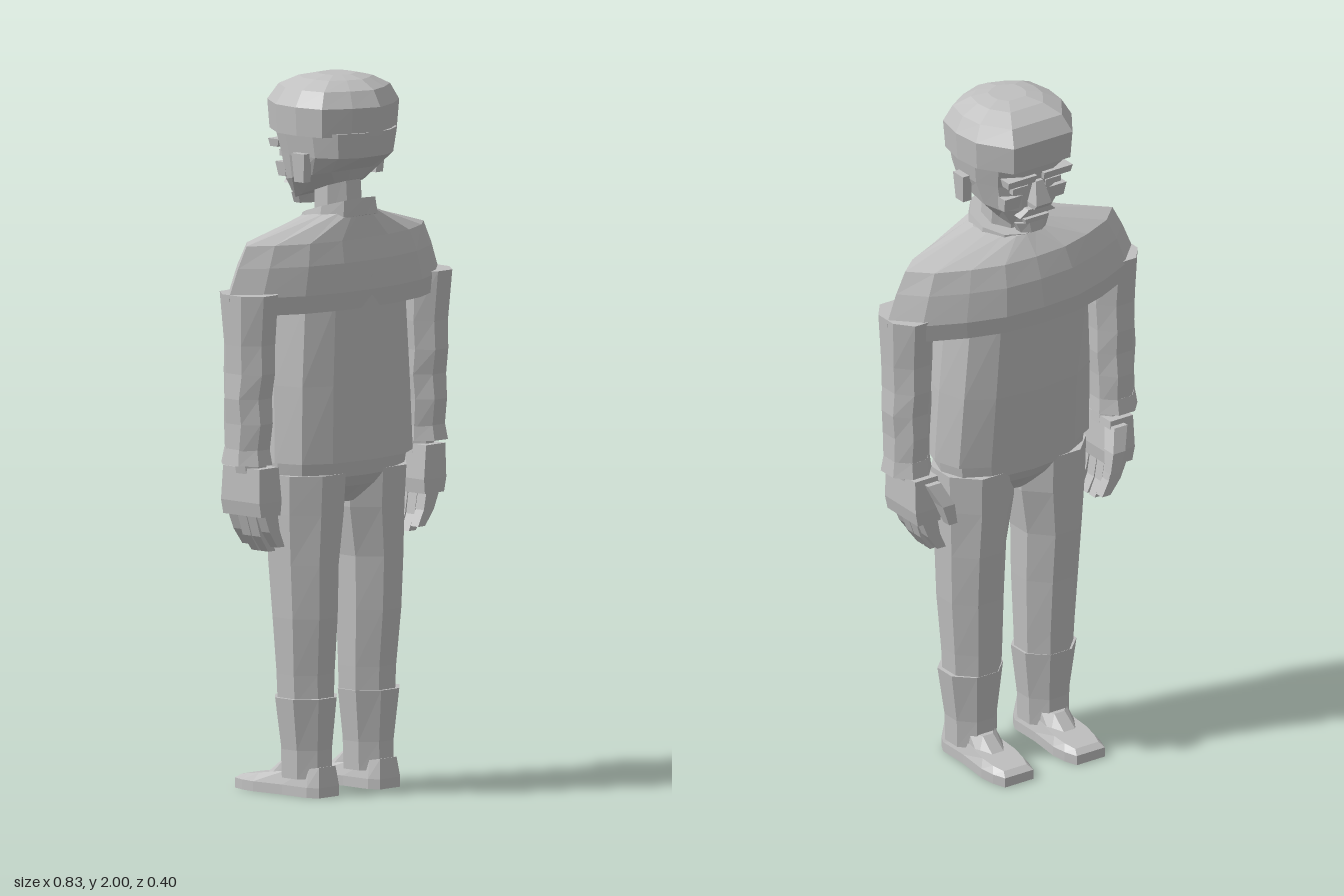
import * as THREE from 'three';

// Outline of unit size with n sides; p below 1 makes it boxier
function round(n, p = 1, turn = 0.5) {
  const f = (v) => Math.sign(v) * Math.pow(Math.abs(v) < 1e-6 ? 0 : Math.abs(v), p);
  return Array.from({ length: n }, (_, i) => {
    const a = ((i + turn) / n) * Math.PI * 2;
    return [f(Math.cos(a)), f(Math.sin(a))];
  });
}

// Completes a right-half outline (front to back) with its mirror image
function mirrored(half) {
  const left = half.filter((q) => q[0] > 0).reverse().map(([x, z]) => [-x, z]);
  return [...half, ...left];
}

// Faceted solid through rings [y, centreX, centreZ, halfX, halfZ, tilt], bottom to top
function loft(outline, rings) {
  const n = outline.length, pos = [];
  const pts = rings.map(([y, cx, cz, sx, sz, tilt = 0]) =>
    outline.map(([x, z]) => [cx + x * sx, y + z * sz * tilt, cz + z * sz]));
  const mid = ([y, cx, cz]) => [cx, y, cz];
  const last = rings.length - 1;
  for (let j = 0; j < n; j++) {
    const k = (j + 1) % n;
    for (let i = 0; i < last; i++) {
      const a = pts[i][j], b = pts[i][k], c = pts[i + 1][j], d = pts[i + 1][k];
      pos.push(...a, ...c, ...b, ...b, ...c, ...d);
    }
    pos.push(...mid(rings[0]), ...pts[0][j], ...pts[0][k]);
    pos.push(...mid(rings[last]), ...pts[last][k], ...pts[last][j]);
  }
  const g = new THREE.BufferGeometry();
  g.setAttribute('position', new THREE.Float32BufferAttribute(pos, 3));
  g.computeVertexNormals();
  return g;
}

export function createModel() {
  const model = new THREE.Group();
  const grey = new THREE.MeshStandardMaterial({ color: 0xc0c0c0 });
  grey.name = 'plain grey';
  const add = (name, outline, rings) => {
    const m = new THREE.Mesh(loft(outline, rings), grey);
    m.name = name;
    model.add(m);
  };
  const oct = round(8), box = [[1, -1], [1, 1], [-1, 1], [-1, -1]];
  const body = round(12, 0.8, 0);

  // Cap: flat brow, pointed back
  const capLine = mirrored([[0.58, -1], [0.95, -0.45], [1, 0.05], [0.9, 0.55], [0.47, 0.83], [0, 1]]);
  add('cap', capLine, [
    [1.84, 0, 0.025, 0.165, 0.163], [1.92, 0, 0.026, 0.17, 0.17], [1.965, 0, 0.028, 0.145, 0.142],
    [1.99, 0, 0.03, 0.095, 0.095], [2.0, 0, 0.03, 0.05, 0.05],
  ]);

  // Head with slanting jaw
  add('head', round(12, 0.8), [
    [1.675, 0, 0, 0.075, 0.1, 0.35], [1.72, 0, 0.01, 0.122, 0.115, 0.2],
    [1.78, 0, 0.03, 0.143, 0.145], [1.85, 0, 0.025, 0.155, 0.16],
  ]);
  add('nose', box, [
    [1.71, 0, -0.115, 0.024, 0.02], [1.725, 0, -0.12, 0.026, 0.028], [1.79, 0, -0.11, 0.012, 0.016],
  ]);
  add('moustache', box, [[1.685, 0, -0.104, 0.06, 0.014], [1.708, 0, -0.106, 0.035, 0.018]]);
  add('lowerLip', box, [[1.66, 0, -0.1, 0.035, 0.012], [1.675, 0, -0.1, 0.04, 0.014]]);
  add('chin', oct, [[1.63, 0, -0.085, 0.045, 0.03], [1.66, 0, -0.08, 0.06, 0.034]]);
  add('neck', oct, [[1.57, 0, 0.035, 0.075, 0.07], [1.74, 0, 0.03, 0.07, 0.063]]);
  add('collar', round(10), [
    [1.585, 0, 0.035, 0.115, 0.105, 0.28], [1.632, 0, 0.035, 0.105, 0.1, 0.3],
  ]);

  // Jumper: trunk, and a lens-shaped chest that spreads into the shoulders
  add('jumperTrunk', body, [
    [0.935, 0, 0.028, 0.246, 0.138], [1.15, 0, 0.018, 0.238, 0.146],
    [1.38, 0, 0.012, 0.222, 0.152], [1.45, 0, 0.012, 0.222, 0.15],
  ]);
  const chest = mirrored([
    [0, -1], [0.29, -0.95], [0.56, -0.73], [0.83, -0.4], [1, 0.05], [0.83, 0.45], [0.56, 0.8], [0.26, 0.97], [0, 1],
  ]);
  add('chestAndShoulders', chest, [
    [1.36, 0, 0.008, 0.405, 0.153], [1.41, 0, 0.008, 0.415, 0.157], [1.49, 0, 0.012, 0.382, 0.146],
    [1.55, 0, 0.015, 0.35, 0.126], [1.615, 0, 0.03, 0.11, 0.095, 0.15],
  ]);
  add('pelvis', body, [
    [0.81, 0, 0.022, 0.05, 0.055], [0.86, 0, 0.022, 0.17, 0.1],
    [0.89, 0, 0.023, 0.226, 0.118], [0.955, 0, 0.025, 0.235, 0.125],
  ]);

  for (const s of [1, -1]) {
    const side = s > 0 ? 'left' : 'right';
    const part = (name, outline, rings) =>
      add(side + name, outline, rings.map(([y, x, ...rest]) => [y, s * x, ...rest]));

    // Face pieces
    part('Ear', box, [[1.71, 0.143, 0.035, 0.014, 0.018], [1.79, 0.148, 0.035, 0.014, 0.024]]);
    part('Brow', box, [[1.79, 0.06, -0.112, 0.045, 0.014], [1.812, 0.06, -0.112, 0.048, 0.02]]);
    part('Eye', box, [[1.762, 0.055, -0.105, 0.026, 0.008], [1.78, 0.055, -0.107, 0.026, 0.008]]);
    part('Cheek', box, [[1.71, 0.07, -0.085, 0.03, 0.014], [1.75, 0.07, -0.09, 0.034, 0.018]]);

    // Rumpled sleeve with flared cuff
    part('Sleeve', oct, [
      [0.97, 0.347, 0.02, 0.064, 0.066], [1.06, 0.345, 0.023, 0.064, 0.076], [1.13, 0.345, 0.022, 0.07, 0.071],
      [1.2, 0.343, 0.025, 0.067, 0.08], [1.28, 0.342, 0.025, 0.071, 0.078], [1.42, 0.345, 0.025, 0.074, 0.092],
    ]);
    part('Cuff', oct, [[0.945, 0.348, 0.02, 0.07, 0.078], [0.99, 0.347, 0.02, 0.064, 0.068]]);

    // Hand with curled fingers
    part('Wrist', oct, [[0.91, 0.328, 0.018, 0.042, 0.05], [0.96, 0.335, 0.018, 0.045, 0.05]]);
    part('Palm', box, [
      [0.8, 0.324, 0.016, 0.038, 0.073], [0.84, 0.326, 0.016, 0.044, 0.074], [0.935, 0.33, 0.018, 0.038, 0.07],
    ]);
    for (let i = 0; i < 4; i++) {
      const z = 0.07 - i * 0.036, drop = i === 1 || i === 2 ? 0 : 0.015;
      part('Finger' + (i + 1), box, [
        [0.695 + drop, 0.278, z, 0.014, 0.014], [0.74 + drop, 0.305, z, 0.02, 0.016],
        [0.82, 0.325, z, 0.027, 0.017],
      ]);
    }
    part('Thumb', box, [
      [0.8, 0.273, -0.086, 0.014, 0.014], [0.86, 0.288, -0.078, 0.02, 0.022], [0.92, 0.315, -0.045, 0.022, 0.024],
    ]);

    // Trouser leg, boot shaft and foot
    part('Leg', oct, [
      [0.26, 0.121, 0.026, 0.083, 0.084], [0.34, 0.122, 0.026, 0.087, 0.086], [0.5, 0.126, 0.028, 0.095, 0.098],
      [0.65, 0.128, 0.024, 0.1, 0.107], [0.79, 0.12, 0.022, 0.116, 0.115], [0.9, 0.12, 0.024, 0.12, 0.12],
    ]);
    part('BootShaft', oct, [
      [0.05, 0.122, 0.03, 0.072, 0.076], [0.13, 0.122, 0.03, 0.074, 0.076], [0.275, 0.124, 0.03, 0.094, 0.09],
    ]);
    const sole = mirrored([[0.72, -1], [0.92, -0.75], [1, -0.45], [0.85, 0.2], [0.85, 0.8], [0.6, 1]]);
    part('Foot', sole, [
      [0, 0.121, -0.042, 0.066, 0.158], [0.028, 0.121, -0.042, 0.066, 0.158],
      [0.062, 0.121, -0.036, 0.054, 0.145, 0.15],
    ]);
    part('Instep', oct, [[0.04, 0.121, -0.045, 0.052, 0.075], [0.1, 0.121, 0.005, 0.045, 0.06, 0.2]]);
  }
  return model;
}
